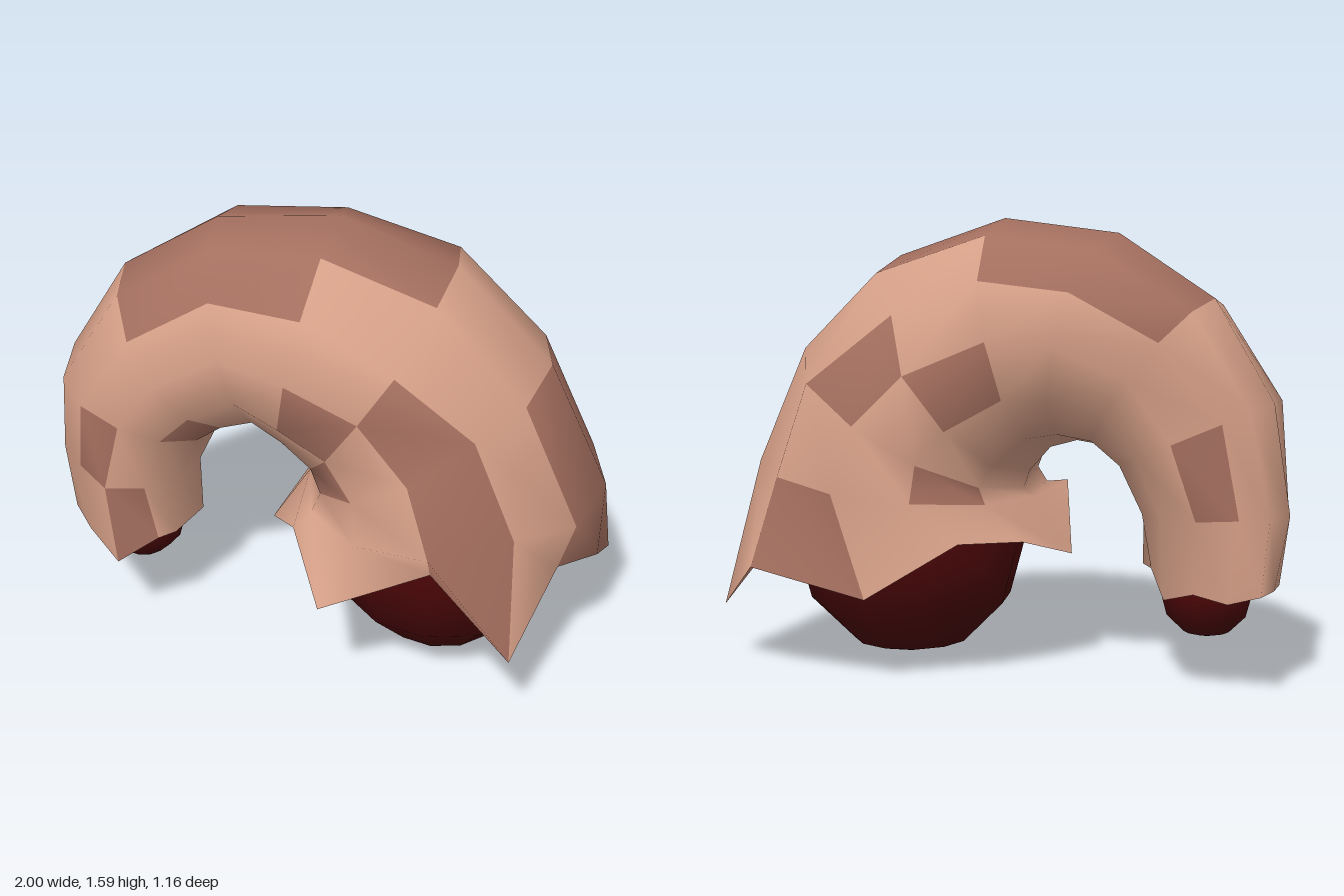
import * as THREE from 'three';

const SIDES = 12;

// Arch sections: outer x,y, inner x,y, front depth, back depth, sideways lean of the outer edge
const SECTIONS = [
  [-1.00, 0.62, -0.47, 0.60, 0.29, 0.24, -0.05],
  [-0.94, 0.99, -0.40, 0.75, 0.30, 0.31, -0.05],
  [-0.73, 1.33, -0.31, 0.81, 0.35, 0.33, -0.05],
  [-0.39, 1.54, -0.22, 0.82, 0.31, 0.43, -0.05],
  [0.03, 1.585, -0.12, 0.79, 0.44, 0.39, -0.05],
  [0.44, 1.45, -0.04, 0.70, 0.44, 0.51, -0.04],
  [0.78, 1.16, -0.02, 0.64, 0.50, 0.53, 0.04],
  [0.99, 0.72, -0.06, 0.61, 0.56, 0.53, 0.04],
];

// Bulges and dents: section, side, depth
const DENTS = [
  [0, 1, 0.06], [0, 2, 0.17], [0, 10, -0.19],
  [1, 1, 0.17], [1, 2, 0.28], [1, 10, -0.19],
  [5, 2, 0.44], [5, 10, -0.35],
  [6, 2, 0.39], [6, 10, -0.48],
  [7, 2, 0.42],
];

// Ragged hems, one point per side, from the outer edge round by the front
const SMALL_HEM = [
  [-0.95, 0.36, -0.05], [-0.94, 0.36, 0.05], [-0.85, 0.34, 0.16], [-0.70, 0.31, 0.30],
  [-0.56, 0.40, 0.25], [-0.53, 0.36, 0.14], [-0.46, 0.40, 0.02], [-0.53, 0.41, -0.09],
  [-0.60, 0.32, -0.16], [-0.72, 0.36, -0.21], [-0.83, 0.33, -0.18], [-0.95, 0.37, -0.20],
];
const LARGE_HEM = [
  [0.98, 0.40, 0.00], [0.86, 0.47, 0.21], [0.75, 0.31, 0.57], [0.46, 0.55, 0.47],
  [0.10, 0.43, 0.58], [-0.03, 0.61, 0.38], [-0.19, 0.41, 0.03], [-0.11, 0.49, -0.22],
  [0.03, 0.51, -0.44], [0.34, 0.31, -0.53], [0.75, 0.40, -0.585], [1.00, 0.20, -0.36],
];

// Dark patches: sides (counted from the outer edge) for each strip along the arch
const PATCHES = [
  [3],
  [2, 9],
  [4],
  [0, 1, 10, 11],
  [0, 1, 10, 11],
  [0, 11, 3, 8],
  [2, 4, 9],
  [0, 11, 2, 7],
  [0, 11, 2, 9],
];

function ring([ox, oy, ix, iy, front, back, lean]) {
  return Array.from({ length: SIDES }, (_, j) => {
    const a = (j / SIDES) * Math.PI * 2;
    const c = Math.cos(a), s = Math.sin(a);
    const t = (1 + c) / 2;
    const z = s * (s > 0 ? front : back) + lean * Math.max(0, c);
    return [ix + (ox - ix) * t, iy + (oy - iy) * t, z];
  });
}

// Skin the rings, sorting quads into one group per colour
function buildSleeve() {
  const body = SECTIONS.map(ring);
  for (const [section, side, z] of DENTS) body[section][side][2] = z;
  const rings = [SMALL_HEM, ...body, LARGE_HEM];
  const plain = [];
  const patched = [];
  for (let s = 0; s < rings.length - 1; s++) {
    for (let j = 0; j < SIDES; j++) {
      const k = (j + 1) % SIDES;
      const a = s * SIDES + j, b = s * SIDES + k;
      const c = a + SIDES, d = b + SIDES;
      (PATCHES[s].includes(j) ? patched : plain).push(a, b, c, b, d, c);
    }
  }
  const geo = new THREE.BufferGeometry();
  geo.setAttribute('position', new THREE.Float32BufferAttribute(rings.flat(2), 3));
  geo.setIndex([...plain, ...patched]);
  geo.addGroup(0, plain.length, 0);
  geo.addGroup(plain.length, patched.length, 1);
  geo.computeVertexNormals();
  return geo;
}

function material(name, color, side = THREE.FrontSide) {
  const m = new THREE.MeshStandardMaterial({ color, side });
  m.name = name;
  return m;
}

export function createModel() {
  const group = new THREE.Group();
  group.name = 'archedTube';

  const light = material('light tan', 0xd59f87, THREE.DoubleSide);
  const dark = material('brown patch', 0xa46f5f, THREE.DoubleSide);
  const red = material('dark red', 0x480507);

  const add = (name, geo, mat, x = 0, y = 0, z = 0) => {
    const mesh = new THREE.Mesh(geo, mat);
    mesh.name = name;
    mesh.position.set(x, y, z);
    group.add(mesh);
  };

  add('sleeve', buildSleeve(), [light, dark]);
  // Balls held in the two open ends
  add('largeBall', new THREE.SphereGeometry(0.42, 12, 6), red, 0.43, 0.42, 0);
  add('smallBall', new THREE.SphereGeometry(0.16, 12, 6), red, -0.70, 0.33, 0);

  return group;
}
